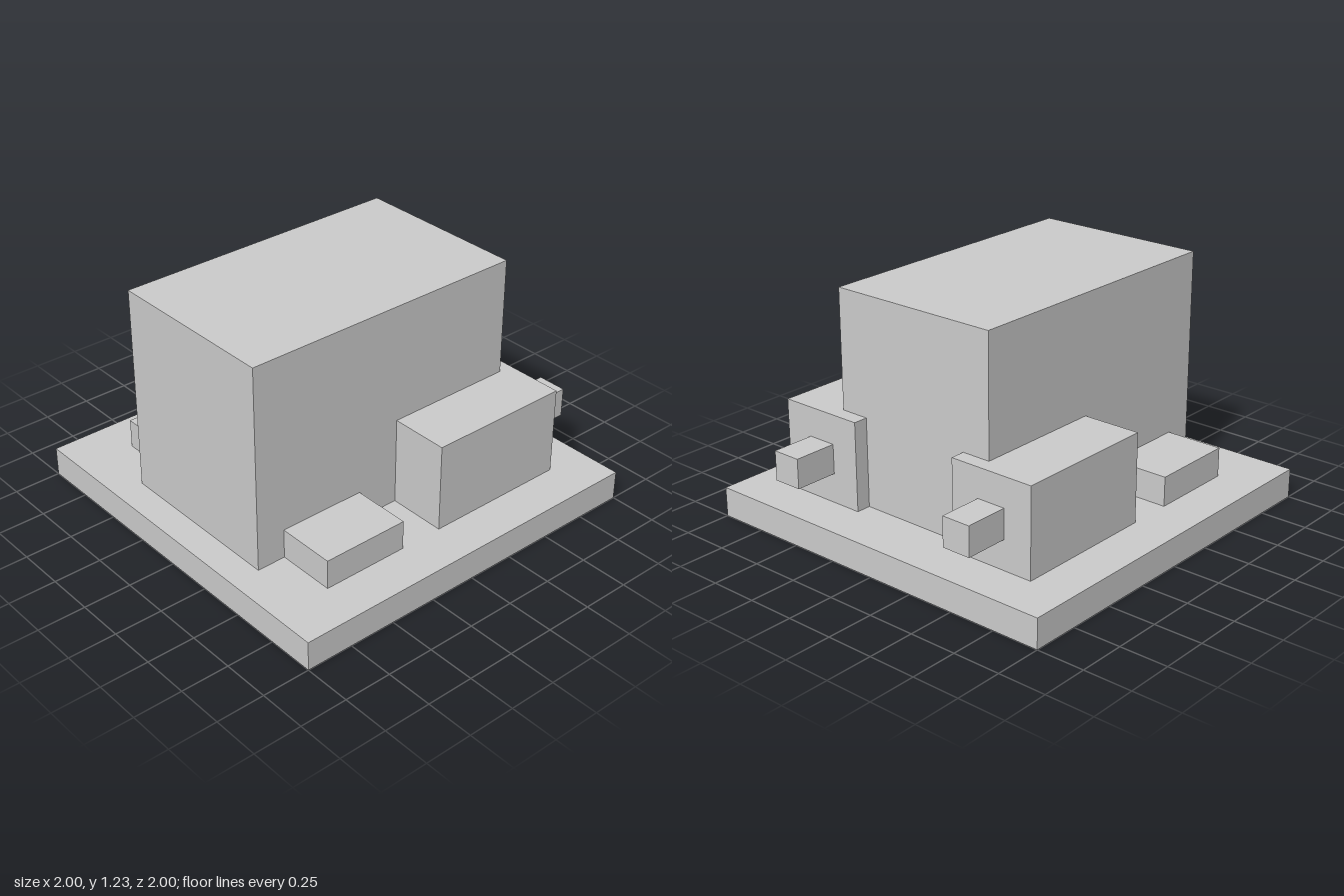
import * as THREE from 'three';

// All dimensions lie on a grid of 26 cells across the base
const U = 1 / 13;
const material = new THREE.MeshStandardMaterial({ color: 0xcccccc, flatShading: true });

// Box from its min and max corners, in grid cells
function block(name, [x0, y0, z0], [x1, y1, z1]) {
  const mesh = new THREE.Mesh(
    new THREE.BoxGeometry((x1 - x0) * U, (y1 - y0) * U, (z1 - z0) * U),
    material
  );
  mesh.position.set((x0 + x1) / 2, (y0 + y1) / 2, (z0 + z1) / 2).multiplyScalar(U);
  mesh.name = name;
  return mesh;
}

export function createModel() {
  const model = new THREE.Group();
  model.name = 'blockModel';

  // Base slab and main body
  model.add(block('base', [-13, 0, -13], [13, 2, 13]));
  model.add(block('body', [-6, 2, -9], [6, 16, 11]));

  // Matching blocks on both sides
  for (const side of [1, -1]) {
    const name = side > 0 ? 'left' : 'right';
    const parts = [
      block(name + 'RearBlock', [4, 2, -10], [10, 8, 0]),
      block(name + 'FrontBlock', [6, 2, 3], [10, 4, 9]),
      block(name + 'RearPeg', [6, 4, -13], [8, 6, -10]),
    ];
    for (const part of parts) {
      part.position.x *= side;
      model.add(part);
    }
  }
  return model;
}
